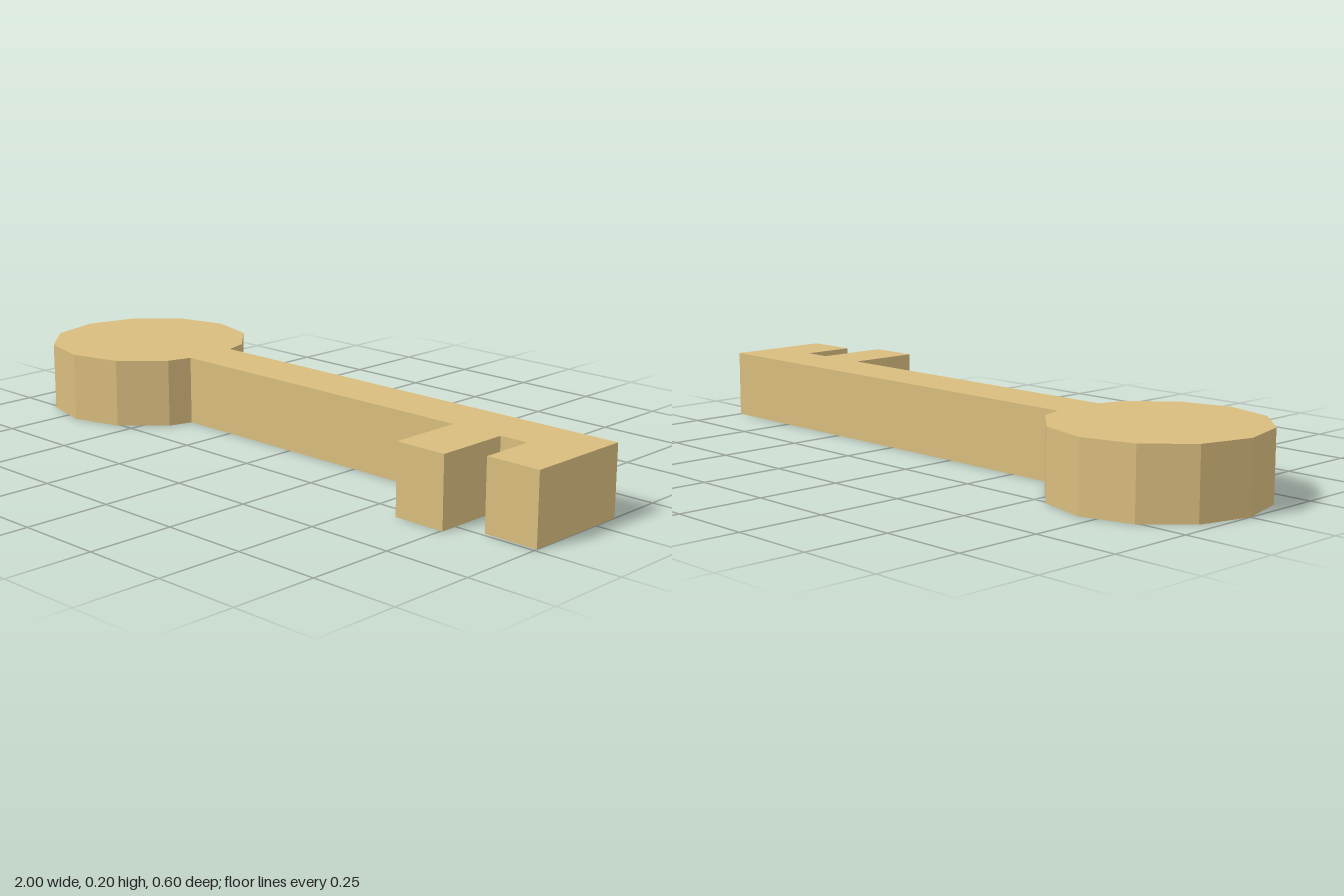
import * as THREE from 'three';

const THICKNESS = 0.2;
const HALF_SHAFT = 0.08;

export function createModel() {
  const model = new THREE.Group();
  model.name = 'key';

  const brass = new THREE.MeshStandardMaterial({ color: 0xd8bc7e });
  brass.name = 'brass';

  // Outline in plan, as [x, z]: the twelve-sided bow, left open where the shaft joins
  const outline = [[-0.42, HALF_SHAFT]];
  for (let i = 1; i < 12; i++) {
    const a = (i * Math.PI) / 6;
    outline.push([-0.7 + 0.3 * Math.cos(a), 0.3 * Math.sin(a)]);
  }
  // Shaft back edge and tip, then the short tooth, notch and long tooth
  outline.push(
    [-0.42, -HALF_SHAFT], [1, -HALF_SHAFT],
    [1, 0.24], [0.84, 0.24], [0.84, HALF_SHAFT],
    [0.755, HALF_SHAFT], [0.755, 0.3], [0.6, 0.3], [0.6, HALF_SHAFT],
  );

  // One solid slab, laid flat on the ground
  const shape = new THREE.Shape(outline.map(([x, z]) => new THREE.Vector2(x, -z)));
  const geometry = new THREE.ExtrudeGeometry(shape, { depth: THICKNESS, bevelEnabled: false });
  geometry.rotateX(-Math.PI / 2);

  const body = new THREE.Mesh(geometry, brass);
  body.name = 'bowShaftAndTeeth';
  model.add(body);
  return model;
}
